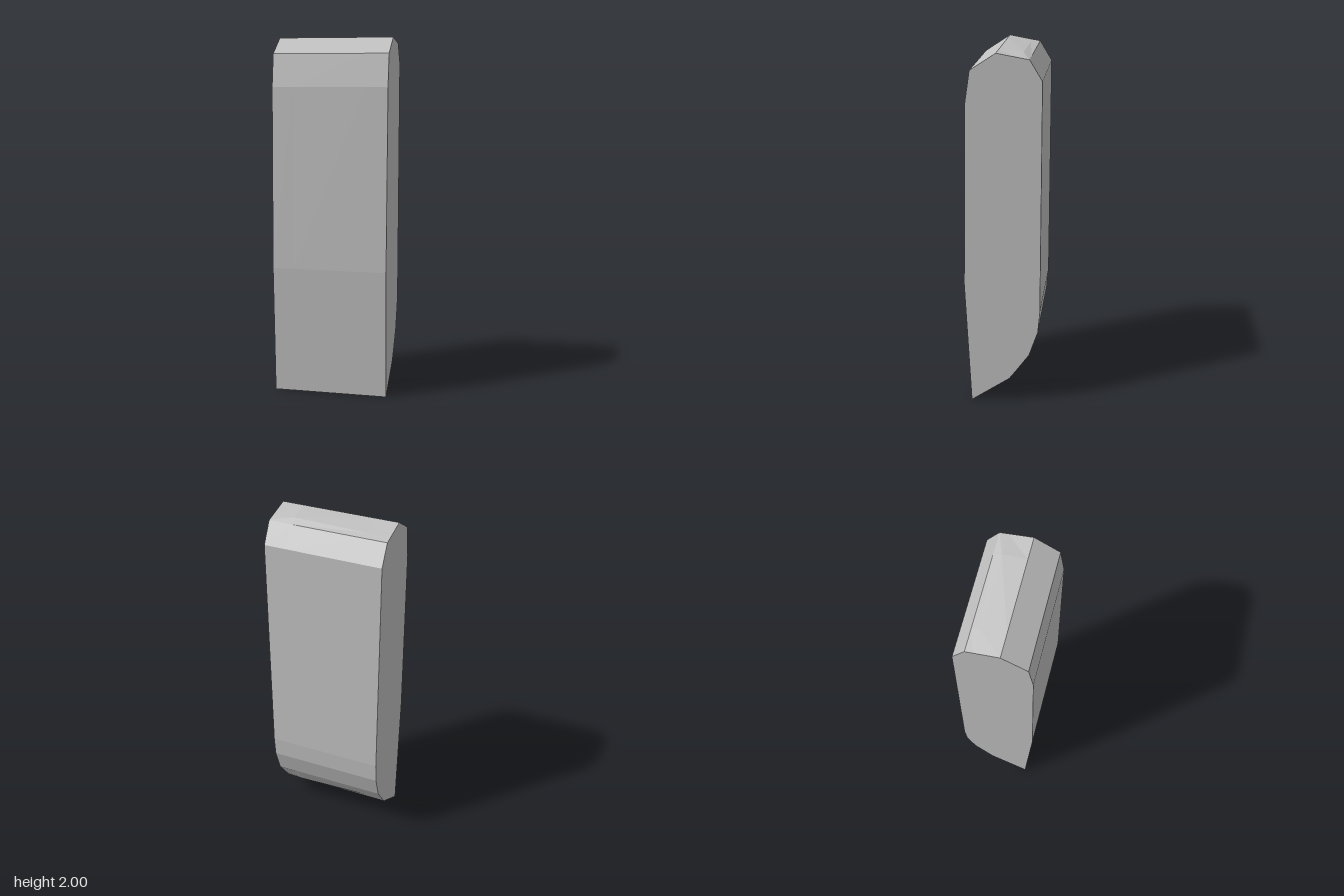
import * as THREE from 'three';

// Side profile [z, y], from the bottom tip up the front, over the top and down the back.
// Optional third and fourth values: bulge in y and the x where it peaks.
const PROFILE = [
  [0.177, 0.0], [0.211, 0.72], [0.194, 1.73], [0.167, 1.91], [0.03, 2.0],
  [-0.1, 1.977, 0.012, 0.2], [-0.143, 1.97], [-0.21, 1.86], [-0.21, 0.57],
  [-0.2, 0.45], [-0.152, 0.306],
  [-0.08, 0.204, -0.018, 0.2], [-0.04, 0.15], [0.04, 0.095, -0.017, -0.2],
];
const HALF = 0.322;
const STATIONS = [-HALF, -0.2, 0.2, HALF];

// Straight rise and fall between the two ends
const tent = (x, peak) => (x <= peak ? (x + HALF) / (peak + HALF) : (HALF - x) / (HALF - peak));

// Loft the profile across the width and close both ends
function loftBody() {
  const n = PROFILE.length;
  const positions = [];
  const index = [];
  for (const x of STATIONS) {
    for (const [z, y, bulge = 0, peak = 0] of PROFILE) {
      positions.push(x, y + bulge * tent(x, peak), z);
    }
  }
  for (let s = 0; s < STATIONS.length - 1; s++) {
    for (let i = 0; i < n; i++) {
      const j = (i + 1) % n;
      const a = s * n + i, b = s * n + j;
      index.push(a, a + n, b + n, a, b + n, b);
    }
  }
  const last = (STATIONS.length - 1) * n;
  for (let i = 1; i < n - 1; i++) {
    index.push(0, i, i + 1);
    index.push(last, last + i + 1, last + i);
  }
  const indexed = new THREE.BufferGeometry();
  indexed.setAttribute('position', new THREE.Float32BufferAttribute(positions, 3));
  indexed.setIndex(index);
  const geometry = indexed.toNonIndexed();
  geometry.computeVertexNormals();
  return geometry;
}

export function createModel() {
  const grey = new THREE.MeshStandardMaterial({ color: 0xc0c0c0 });
  grey.name = 'light grey';
  const model = new THREE.Group();
  model.name = 'bevelledBlock';
  const body = new THREE.Mesh(loftBody(), grey);
  body.name = 'body';
  model.add(body);
  return model;
}
